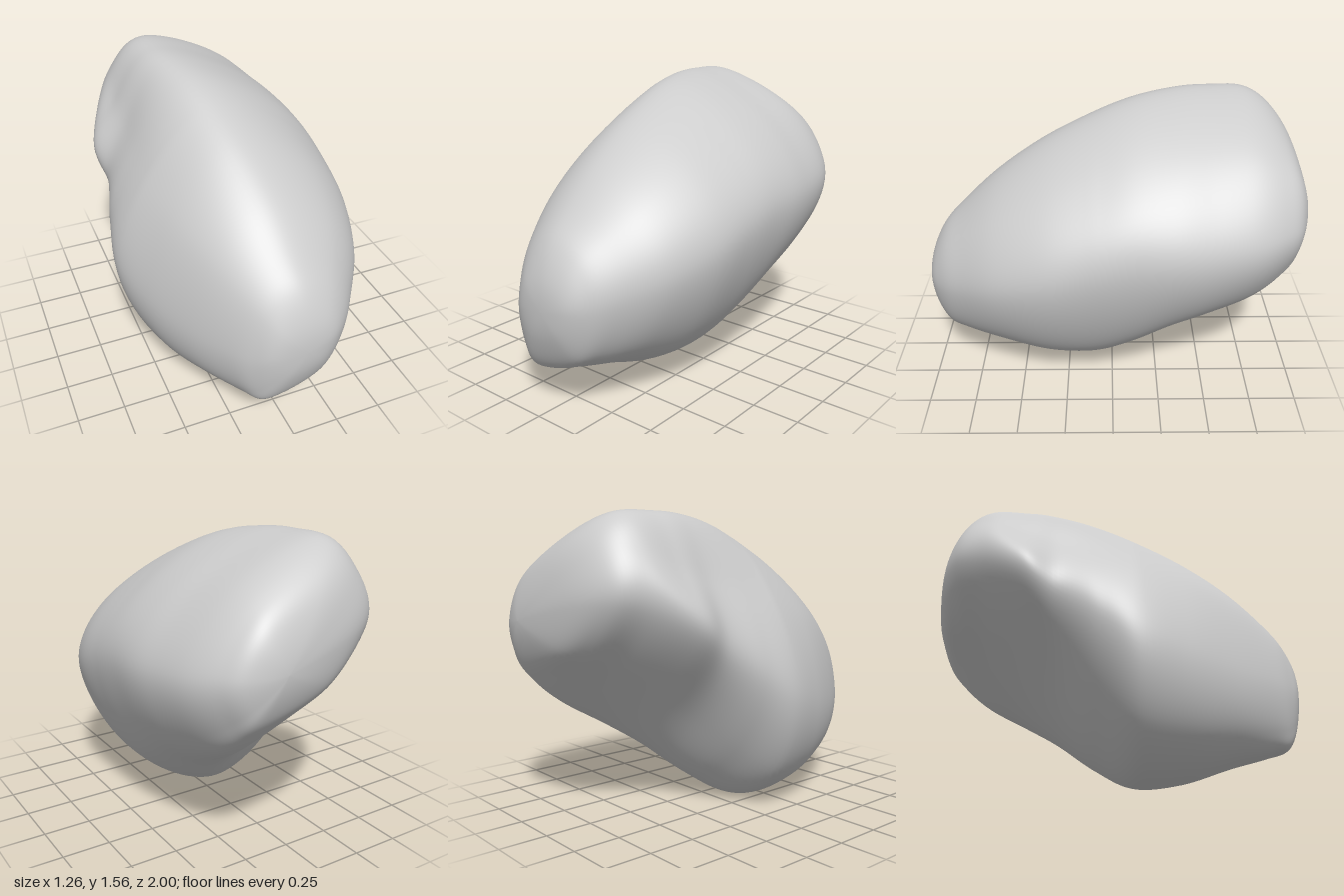
import * as THREE from 'three';

// Cross-sections from front to back:
// z, left x/y, top x/y, right x/y, bottom x/y
const SECTIONS = [
  [1.0, 0.05, 0.56, 0.05, 0.56, 0.05, 0.56, 0.05, 0.56],
  [0.98, 0.19, 0.58, 0.05, 0.71, -0.11, 0.55, -0.02, 0.39],
  [0.91, 0.29, 0.59, 0.03, 0.86, -0.21, 0.52, -0.09, 0.22],
  [0.8, 0.38, 0.63, 0.01, 0.98, -0.3, 0.52, -0.1, 0.17],
  [0.6, 0.51, 0.7, -0.01, 1.16, -0.425, 0.52, -0.1, 0.11],
  [0.35, 0.595, 0.78, -0.05, 1.325, -0.55, 0.55, -0.08, 0.03],
  [0.1, 0.62, 0.86, -0.09, 1.445, -0.63, 0.63, -0.07, 0.01],
  [-0.1, 0.627, 0.92, -0.13, 1.515, -0.6, 0.75, 0.01, 0.13],
  [-0.3, 0.627, 0.95, -0.17, 1.55, -0.54, 0.88, 0.1, 0.3],
  [-0.48, 0.605, 0.97, -0.19, 1.56, -0.56, 1.0, 0.19, 0.43],
  [-0.7, 0.56, 1.0, -0.17, 1.55, -0.45, 1.11, 0.27, 0.57],
  [-0.85, 0.49, 1.02, -0.09, 1.45, -0.36, 1.14, 0.29, 0.7],
  [-0.95, 0.4, 1.02, 0.04, 1.28, -0.15, 1.11, 0.28, 0.83],
  [-1.0, 0.22, 1.03, 0.22, 1.03, 0.22, 1.03, 0.22, 1.03],
];

// How far the corners between those points bulge, as fractions of the way out:
// z, top left, shoulder x, shoulder y, bottom right, bottom left
const CORNERS = [
  [1.0, 0.71, 0.71, 0.71, 0.72, 0.72],
  [0.6, 0.69, 0.71, 0.69, 0.74, 0.69],
  [0.1, 0.66, 0.66, 0.6, 0.71, 0.68],
  [-0.1, 0.655, 0.67, 0.54, 0.65, 0.69],
  [-0.3, 0.65, 0.7, 0.5, 0.59, 0.7],
  [-0.5, 0.645, 0.67, 0.49, 0.57, 0.71],
  [-0.7, 0.645, 0.78, 0.6, 0.59, 0.71],
  [-0.85, 0.66, 0.74, 0.69, 0.63, 0.72],
  [-1.0, 0.71, 0.71, 0.71, 0.71, 0.72],
];

const ARC = 12, SIDES = ARC * 8, STEPS = 8;

function catmull(a, b, c, d, t) {
  return 0.5 * (2 * b + (c - a) * t + (2 * a - 5 * b + 4 * c - d) * t * t
    + (3 * b - a - 3 * c + d) * t * t * t);
}

// Mirrored section beyond each tip, so both ends close with a round cap
const beyond = (tip, next) => tip.map((v, k) => (k === 0 ? next[0] : 2 * v - next[k]));

function cornersAt(z) {
  const end = CORNERS.length - 1;
  let i = 0;
  while (i < end - 1 && z < CORNERS[i + 1][0]) i++;
  const a = CORNERS[i], b = CORNERS[i + 1];
  const before = CORNERS[Math.max(i - 1, 0)], after = CORNERS[Math.min(i + 2, end)];
  const t = THREE.MathUtils.clamp((a[0] - z) / (a[0] - b[0]), 0, 1);
  return a.map((v, k) => catmull(before[k], v, b[k], after[k], t));
}

// One smooth closed ring through eight points, counterclockwise from the left side
function addRing(positions, section) {
  const [z, lx, ly, tx, ty, rx, ry, bx, by] = section;
  const [, topLeft, shoulderX, shoulderY, bottomRight, bottomLeft] = cornersAt(z);
  const corner = (cx, cy, ex, ey, fx, fy = fx) => [cx + (ex - cx) * fx, cy + (ey - cy) * fy];
  const points = [
    [lx, ly], corner(tx, ly, lx, ty, topLeft),
    [tx, ty], corner(tx, ry, rx, ty, shoulderX, shoulderY),
    [rx, ry], corner(bx, ry, rx, by, bottomRight),
    [bx, by], corner(bx, ly, lx, by, bottomLeft),
  ];
  for (let j = 0; j < SIDES; j++) {
    const k = Math.floor(j / ARC), t = j / ARC - k;
    const [a, b, c, d] = [7, 0, 1, 2].map((o) => points[(k + o) % 8]);
    positions.push(catmull(a[0], b[0], c[0], d[0], t), catmull(a[1], b[1], c[1], d[1], t), z);
  }
}

function boulderGeometry() {
  const last = SECTIONS.length - 1;
  const rows = [beyond(SECTIONS[0], SECTIONS[1]), ...SECTIONS,
    beyond(SECTIONS[last], SECTIONS[last - 1])];
  const positions = [], index = [];
  const rings = last * STEPS;
  for (let i = 0; i <= rings; i++) {
    const k = Math.min(Math.floor(i / STEPS), last - 1);
    const t = i / STEPS - k;
    addRing(positions, rows[k].map((v, m) =>
      catmull(v, rows[k + 1][m], rows[k + 2][m], rows[k + 3][m], t)));
  }
  // Join neighbouring rings; the first and last are single points
  for (let i = 0; i < rings; i++) {
    for (let j = 0; j < SIDES; j++) {
      const a = i * SIDES + j, b = i * SIDES + (j + 1) % SIDES;
      const c = a + SIDES, d = b + SIDES;
      if (i > 0) index.push(a, c, b);
      if (i < rings - 1) index.push(b, c, d);
    }
  }
  const geometry = new THREE.BufferGeometry();
  geometry.setAttribute('position', new THREE.Float32BufferAttribute(positions, 3));
  geometry.setIndex(index);
  geometry.computeVertexNormals();
  return geometry;
}

export function createModel() {
  const group = new THREE.Group();
  group.name = 'rock';
  const stone = new THREE.MeshStandardMaterial({ color: 0xcccccc });
  stone.name = 'grey stone';
  const boulder = new THREE.Mesh(boulderGeometry(), stone);
  boulder.name = 'boulder';
  group.add(boulder);
  return group;
}
